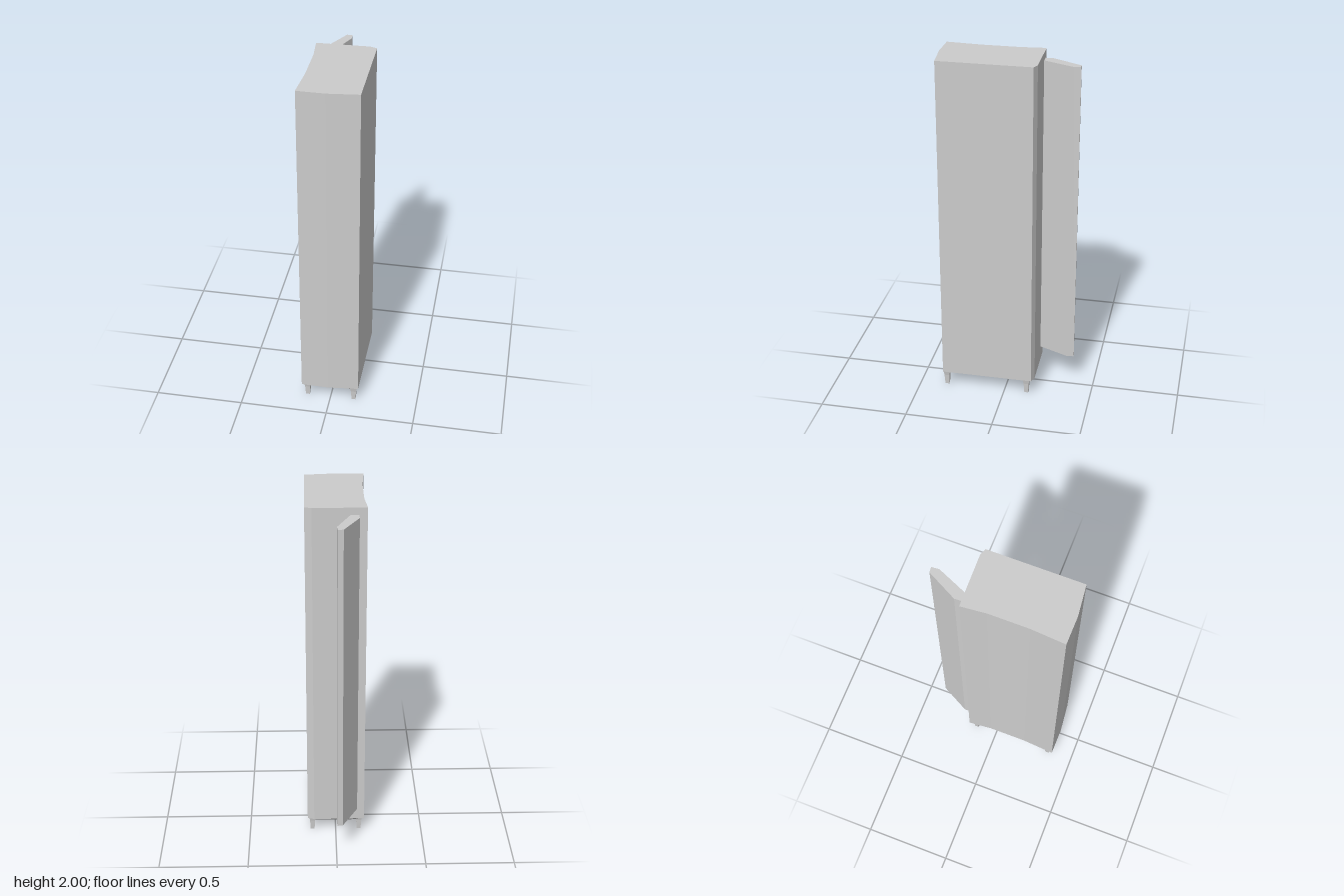
import * as THREE from 'three';

const material = new THREE.MeshStandardMaterial({ color: 0xcccccc, flatShading: true, side: THREE.DoubleSide });

function addMesh(parent, name, geometry) {
  const mesh = new THREE.Mesh(geometry, material);
  mesh.name = name;
  parent.add(mesh);
  return mesh;
}

// Upright prism from a plan outline of [x, z] points
function prism(points, bottom, top) {
  const shape = new THREE.Shape(points.map(([x, z]) => new THREE.Vector2(x, -z)));
  const geometry = new THREE.ExtrudeGeometry(shape, { depth: top - bottom, bevelEnabled: false });
  return geometry.rotateX(-Math.PI / 2).translate(0, bottom, 0);
}

// Wedge running across the width, from a side outline of [z, y] points
function crossWedge(points, width) {
  const shape = new THREE.Shape(points.map(([z, y]) => new THREE.Vector2(-z, y)));
  const geometry = new THREE.ExtrudeGeometry(shape, { depth: width, bevelEnabled: false });
  return geometry.rotateY(Math.PI / 2).translate(-width / 2, 0, 0);
}

export function createModel() {
  const model = new THREE.Group();
  model.name = 'cabinet';

  // Tall case with a bowed front and a shallow hollow in one side
  addMesh(model, 'case', prism([
    [-0.165, 0.38], [-0.01, 0.383], [0.163, 0.365], [0.163, -0.16],
    [0.125, -0.175], [-0.165, -0.17], [-0.152, -0.03], [-0.152, 0.19],
  ], 0.09, 2));

  // Open door swung out behind the case
  addMesh(model, 'door', prism([
    [-0.12, -0.173], [-0.122, -0.215], [-0.035, -0.38],
    [-0.005, -0.383], [-0.002, -0.34], [-0.05, -0.23], [-0.075, -0.173],
  ], 0.185, 1.96));

  // Sloping aprons under both ends
  addMesh(model, 'frontApron', crossWedge([[0.368, 0.092], [0.345, 0.065], [0.2, 0.092]], 0.26));
  addMesh(model, 'backApron', crossWedge([[-0.165, 0.092], [-0.13, 0.055], [-0.05, 0.092]], 0.26));

  // Four square tapered legs
  for (const x of [-0.135, 0.135]) {
    for (const z of [-0.13, 0.345]) {
      const leg = new THREE.Group();
      leg.name = z > 0 ? 'frontLeg' : 'backLeg';
      const taper = new THREE.CylinderGeometry(0.021, 0.016, 0.06, 4).rotateY(Math.PI / 4);
      addMesh(leg, 'legPost', taper).position.y = 0.03;
      const collar = new THREE.CylinderGeometry(0.03, 0.021, 0.035, 4).rotateY(Math.PI / 4);
      addMesh(leg, 'legCollar', collar).position.y = 0.0775;
      leg.position.set(x, 0, z);
      model.add(leg);
    }
  }
  return model;
}
